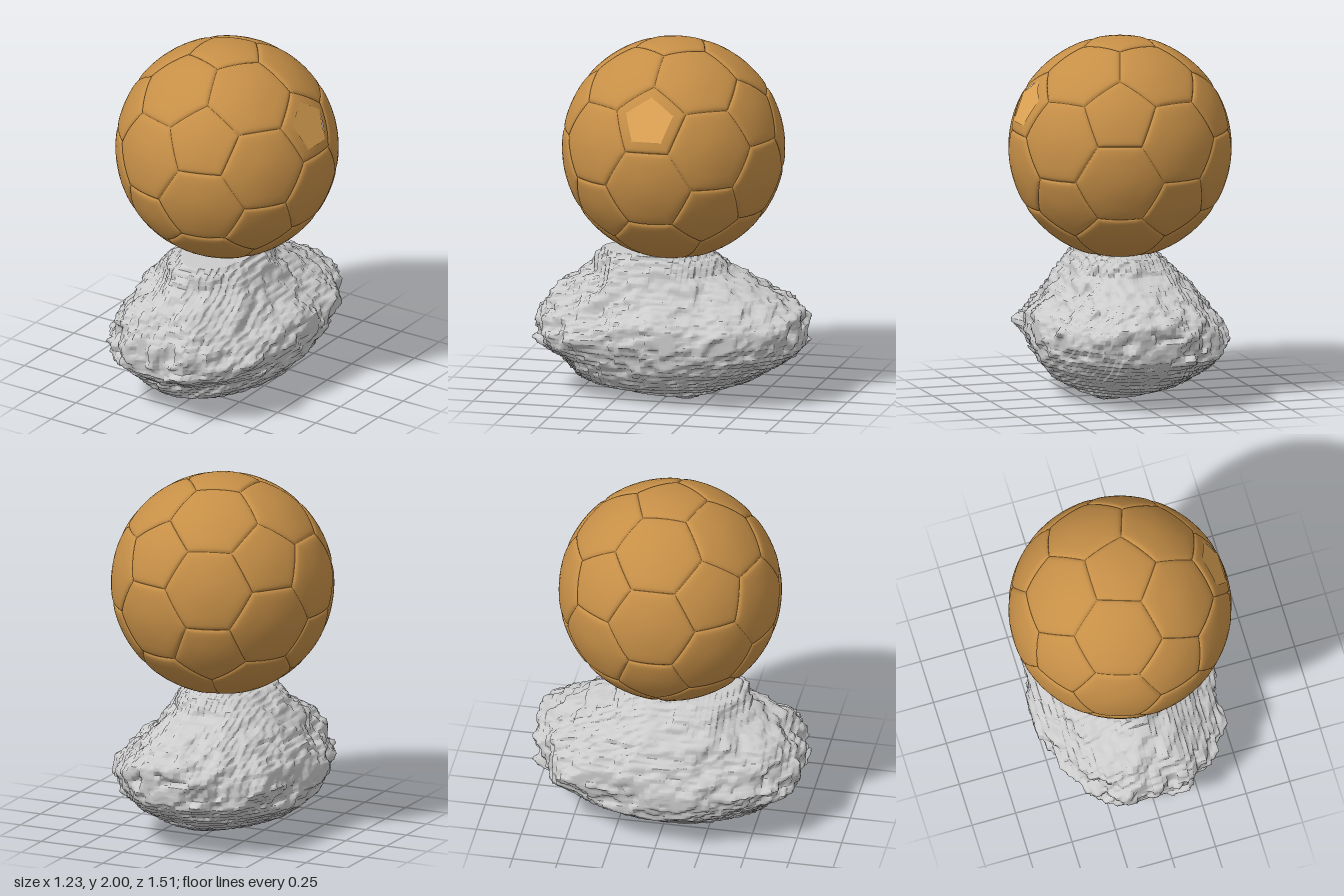
import * as THREE from 'three';
import { mergeVertices } from 'three/addons/utils/BufferGeometryUtils.js';

const R = 0.615;
const BALL_CENTRE = [0, 1.386, -0.01];

// ---------- helpers ----------
function geometryFrom(positions) {
  const g = new THREE.BufferGeometry();
  g.setAttribute('position', new THREE.Float32BufferAttribute(positions, 3));
  return g;
}

function hash(x, y, z) {
  const s = Math.sin(x * 127.1 + y * 311.7 + z * 74.7) * 43758.5453;
  return s - Math.floor(s);
}

// Smooth value noise in -1..1
function noise(x, y, z) {
  const c = [x, y, z].map(Math.floor);
  const f = [x - c[0], y - c[1], z - c[2]].map(t => t * t * (3 - 2 * t));
  let sum = 0;
  for (let k = 0; k < 8; k++) {
    const b = [k & 1, (k >> 1) & 1, k >> 2];
    const w = b.reduce((a, bit, i) => a * (bit ? f[i] : 1 - f[i]), 1);
    sum += w * hash(c[0] + b[0], c[1] + b[1], c[2] + b[2]);
  }
  return sum * 2 - 1;
}

// ---------- ball ----------
// Panel profile: [fraction from panel centre to seam, depth below the sphere]
const FULL = [[0, 0], [0.2, 0], [0.4, 0], [0.64, 0], [0.78, 0], [0.87, 0.001],
  [0.92, 0.0025], [0.96, 0.0055], [0.985, 0.01], [1, 0.013]];
const RIM = FULL.slice(3);

function addPanel(out, panel, rings) {
  const { centre, corners } = panel;
  const steps = 8;
  const flatCentre = centre.clone().multiplyScalar(corners[0].dot(centre));
  const point = (a, b, s, [t, depth]) => flatCentre.clone()
    .lerp(a.clone().lerp(b, s), t).normalize().multiplyScalar(R - depth);
  corners.forEach((a, i) => {
    const b = corners[(i + 1) % corners.length];
    for (let j = 0; j + 1 < rings.length; j++) {
      for (let k = 0; k < steps; k++) {
        const s0 = k / steps, s1 = (k + 1) / steps;
        const p0 = point(a, b, s0, rings[j]), p1 = point(a, b, s1, rings[j]);
        const q0 = point(a, b, s0, rings[j + 1]), q1 = point(a, b, s1, rings[j + 1]);
        out.push(...p0, ...q0, ...q1);
        if (rings[j][0] > 0) out.push(...p0, ...q1, ...p1);
      }
    }
  });
}

// 12 pentagons and 20 hexagons from a truncated icosahedron standing on a vertex
function ballPanels() {
  const V = [new THREE.Vector3(0, 1, 0), new THREE.Vector3(0, -1, 0)];
  const h = 1 / Math.sqrt(5);
  for (let i = 0; i < 10; i++) {
    const a = i * Math.PI / 5;
    V.push(new THREE.Vector3(2 * h * Math.cos(a), i % 2 ? -h : h, 2 * h * Math.sin(a)));
  }
  const near = (a, b) => a !== b && a.dot(b) > 0.4;
  const cut = (a, b) => a.clone().multiplyScalar(2).add(b).normalize();
  const makePanel = (centre, corners) => {
    const u = corners[0].clone().projectOnPlane(centre).normalize();
    const v = centre.clone().cross(u);
    const angle = p => Math.atan2(p.dot(v), p.dot(u));
    return { centre, corners: corners.sort((p, q) => angle(p) - angle(q)) };
  };
  const panels = V.map(a => makePanel(a, V.filter(b => near(a, b)).map(b => cut(a, b))));
  for (let i = 0; i < 12; i++) for (let j = i + 1; j < 12; j++) for (let k = j + 1; k < 12; k++) {
    const t = [V[i], V[j], V[k]];
    if (!near(t[0], t[1]) || !near(t[1], t[2]) || !near(t[0], t[2])) continue;
    const centre = t[0].clone().add(t[1]).add(t[2]).normalize();
    panels.push(makePanel(centre, t.flatMap(a => t.filter(b => b !== a).map(b => cut(a, b)))));
  }
  return panels;
}

function createBall() {
  const ball = new THREE.Group();
  ball.name = 'ball';
  const panels = ballPanels();
  const insetPanel = panels[2]; // the upper pentagon facing +x

  const shell = [];
  panels.forEach(panel => addPanel(shell, panel, panel === insetPanel ? RIM : FULL));
  const g = mergeVertices(geometryFrom(shell), 1e-5);
  g.computeVertexNormals();
  const skin = new THREE.Mesh(g, new THREE.MeshStandardMaterial({ color: 0xc68f47 }));
  skin.name = 'ballPanels';

  // flat lighter pentagon closing the rim
  const inset = new THREE.Mesh(new THREE.CircleGeometry(0.144, 5, Math.PI / 2),
    new THREE.MeshStandardMaterial({ color: 0xe0a555 }));
  inset.name = 'lightPentagon';
  inset.position.copy(insetPanel.centre).multiplyScalar(R * 0.974);
  inset.lookAt(insetPanel.centre.clone().multiplyScalar(2));

  ball.add(skin, inset);
  ball.position.set(...BALL_CENTRE);
  return ball;
}

// ---------- rock ----------
// Outline by height: [y, right x, left x, back z, front z, squareness of the plan]
const OUTLINE = [
  [0.0, 0.13, 0.13, -0.12, -0.12, 1.8],
  [0.02, -0.06, 0.2, -0.22, 0.03, 1.8],
  [0.05, -0.25, 0.27, -0.32, 0.44, 1.8],
  [0.1, -0.38, 0.36, -0.47, 0.57, 1.85],
  [0.2, -0.5, 0.45, -0.65, 0.65, 2],
  [0.28, -0.52, 0.48, -0.74, 0.75, 2.3],
  [0.36, -0.54, 0.51, -0.75, 0.76, 2.5],
  [0.45, -0.5, 0.5, -0.75, 0.74, 2.4],
  [0.52, -0.44, 0.42, -0.68, 0.7, 2.3],
  [0.6, -0.4, 0.35, -0.56, 0.62, 2.2],
  [0.7, -0.31, 0.28, -0.35, 0.45, 2.2],
  [0.77, -0.23, 0.25, -0.27, 0.42, 2.2],
  [0.805, -0.15, 0.21, -0.2, 0.38, 2.1],
  [0.81, 0.03, 0.03, 0.08, 0.08, 2],
];

// Pull a value towards steps of the given size to cut square, softened ledges
function ledge(v, size) {
  const k = v / size, r = Math.round(k), d = (k - r) * 2;
  return (r + 0.5 * d * Math.abs(d) ** 1.8) * size;
}

function createRock() {
  const around = 260, sub = 9, rows = (OUTLINE.length - 1) * sub;
  const positions = [], index = [];
  for (let j = 0; j <= rows; j++) {
    const n = Math.min(Math.floor(j / sub), OUTLINE.length - 2), f = j / sub - n;
    const [y, x0, x1, z0, z1, e] = OUTLINE[n].map((v, i) => v + (OUTLINE[n + 1][i] - v) * f);
    const cx = (x0 + x1) / 2, cz = (z0 + z1) / 2;
    for (let i = 0; i < around; i++) {
      const a = i / around * Math.PI * 2;
      const c = Math.cos(a), s = Math.sin(a);
      const r = (Math.abs(c) ** e + Math.abs(s) ** e) ** (-1 / e);
      const dx = c * r * (x1 - x0) / 2, dz = s * r * (z1 - z0) / 2;
      // broad lumps and small chips
      const px = cx + dx, pz = cz + dz;
      const bump = 0.025 * noise(px * 5, y * 6, pz * 5) + 0.026 * noise(px * 11, y * 14, pz * 11)
        + 0.014 * noise(px * 24, y * 30, pz * 24) - 0.008;
      const grow = 1 + bump / 0.5;
      const py = y + 0.45 * bump * Math.min(1, y * 8, (0.81 - y) * 6);
      positions.push(
        THREE.MathUtils.clamp(ledge(cx + dx * grow, 0.03), -0.545, 0.51),
        THREE.MathUtils.clamp(ledge(py, 0.027), 0, 0.81),
        THREE.MathUtils.clamp(ledge(cz + dz * grow, 0.03), -0.755, 0.755));
      if (j < rows) {
        const p = j * around + i, q = j * around + (i + 1) % around;
        index.push(p, p + around, q, q, p + around, q + around);
      }
    }
  }
  const g = geometryFrom(positions);
  g.setIndex(index);
  g.computeVertexNormals();
  const rock = new THREE.Mesh(g, new THREE.MeshStandardMaterial({ color: 0xcccccc }));
  rock.name = 'rock';
  return rock;
}

export function createModel() {
  const model = new THREE.Group();
  model.name = 'ballOnRock';
  model.add(createRock(), createBall());
  return model;
}
